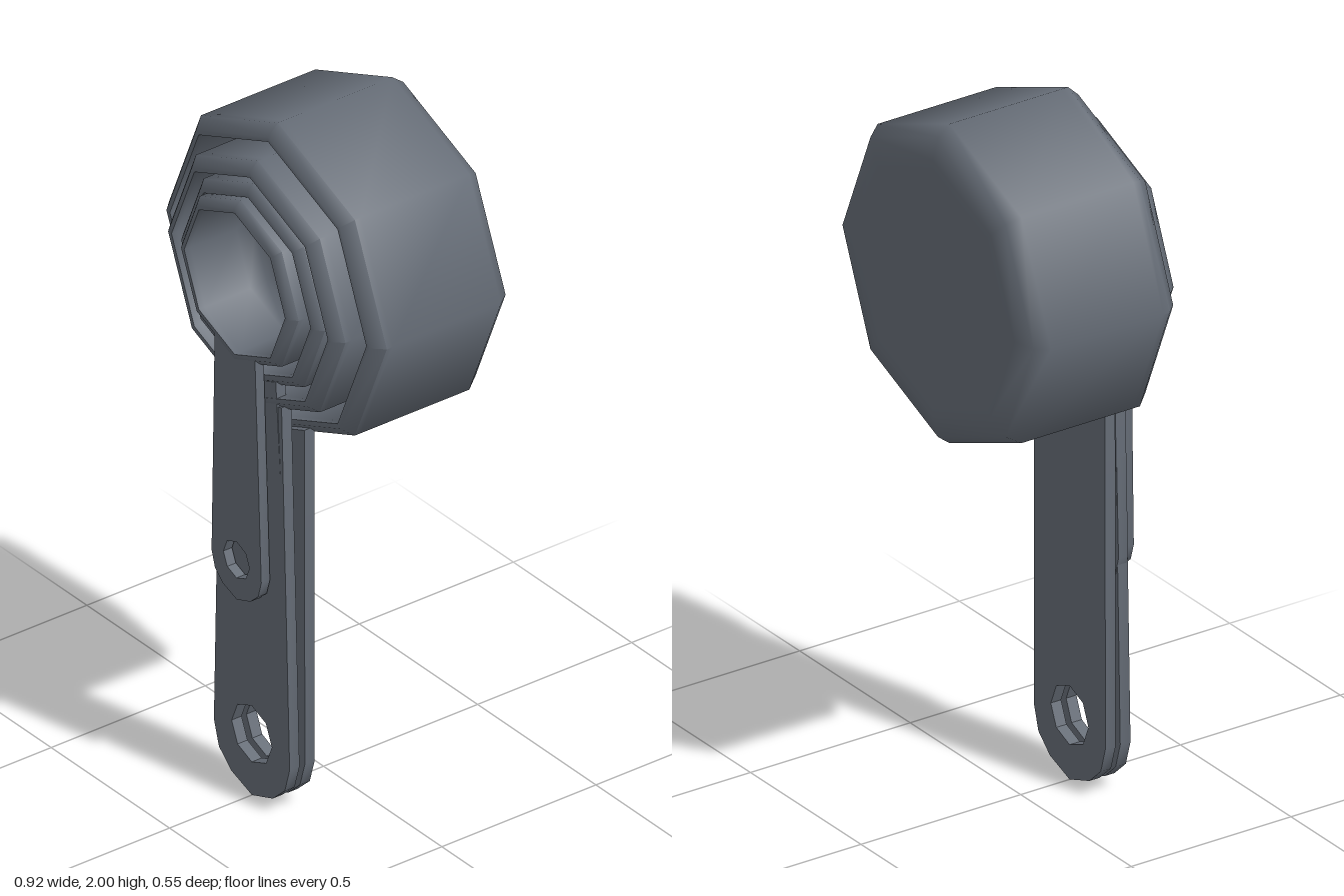
import * as THREE from 'three';
import { toCreasedNormals } from 'three/addons/utils/BufferGeometryUtils.js';

// Octagonal cup: closed wall profile turned about z, rim facing +z
function cupGeometry({ r, inner, rim, back, chamfer }) {
  const c = chamfer, floor = back + 0.03;
  const profile = [
    [0, back], [r - 0.12, back], [r - 0.09, back], [r - 0.028, back + 0.016], [r, back + 0.052],
    [r, rim - c - 0.02], [r, rim - c], [r - c * 0.95, rim], [inner, rim],
    [inner, rim - 0.02], [inner - 0.005, floor + 0.06], [inner - 0.03, floor + 0.02],
    [inner - 0.08, floor], [0, floor],
  ].map(([x, y]) => new THREE.Vector2(x, y));
  const geo = new THREE.LatheGeometry(profile, 8);
  geo.rotateX(Math.PI / 2);
  return toCreasedNormals(geo, 0.96);
}

// Flat strap with a faceted round end, an octagonal hole and a slight lean
function handleGeometry({ top, bottom, wTop, wBottom, hole, holeY, z, depth, lean }) {
  const w = wBottom, side = [
    [wTop, top + wTop * 0.41], [w, bottom + w * 0.95], [w * 0.87, bottom + w * 0.5], [w * 0.55, bottom + w * 0.2],
  ];
  const outline = [
    [0, top], ...side, [0, bottom],
    ...side.slice().reverse().map(([x, y]) => [-x, y]),
  ].map(([x, y]) => new THREE.Vector2(x, y));
  const shape = new THREE.Shape(outline);
  const ring = [];
  for (let i = 0; i < 8; i++) {
    const a = i * Math.PI / 4;
    ring.push(new THREE.Vector2(hole * Math.cos(a), holeY + hole * Math.sin(a)));
  }
  shape.holes.push(new THREE.Path(ring));
  const geo = new THREE.ExtrudeGeometry(shape, { depth, bevelEnabled: false });
  const p = geo.attributes.position;
  for (let i = 0; i < p.count; i++) p.setZ(i, p.getZ(i) + z - lean * (top - p.getY(i)));
  geo.computeVertexNormals();
  return toCreasedNormals(geo, 0.6);
}

export function createModel() {
  const group = new THREE.Group();
  group.name = 'measuringCups';
  const plastic = new THREE.MeshStandardMaterial({ color: 0x666d77 });
  plastic.name = 'slate grey';

  // Nested sizes, largest first
  const sizes = [
    { name: 'largeCup', x: 0, y: 1.542,
      cup: { r: 0.46, inner: 0.415, rim: 0.18, back: -0.275, chamfer: 0.032 },
      handle: { top: 1.1, bottom: 0.005, wTop: 0.16, wBottom: 0.162, hole: 0.085, holeY: 0.19, z: 0.153, depth: 0.032, lean: 0 } },
    { name: 'mediumCup', x: 0, y: 1.542,
      cup: { r: 0.37, inner: 0.33, rim: 0.24, back: -0.13, chamfer: 0.027 },
      handle: { top: 1.185, bottom: 0.005, wTop: 0.13, wBottom: 0.16, hole: 0.085, holeY: 0.19, z: 0.204, depth: 0.032, lean: 0.003 } },
    { name: 'smallCup', x: -0.005, y: 1.545,
      cup: { r: 0.3, inner: 0.265, rim: 0.242, back: -0.07, chamfer: 0.02 },
      handle: { top: 1.26, bottom: 0.55, wTop: 0.115, wBottom: 0.147, hole: 0.06, holeY: 0.7, z: 0.209, depth: 0.03, lean: 0.014 } },
    { name: 'smallestCup', x: -0.018, y: 1.555,
      cup: { r: 0.245, inner: 0.213, rim: 0.275, back: 0.02, chamfer: 0.02 },
      handle: { top: 1.335, bottom: 0.6, wTop: 0.085, wBottom: 0.105, hole: 0.055, holeY: 0.72, z: 0.246, depth: 0.028, lean: 0.008 } },
  ];

  for (const s of sizes) {
    const set = new THREE.Group();
    set.name = s.name;
    set.position.x = s.x;
    const bowl = new THREE.Mesh(cupGeometry(s.cup), plastic);
    bowl.name = 'bowl';
    bowl.position.y = s.y;
    const handle = new THREE.Mesh(handleGeometry(s.handle), plastic);
    handle.name = 'handle';
    set.add(bowl, handle);
    group.add(set);
  }
  return group;
}
